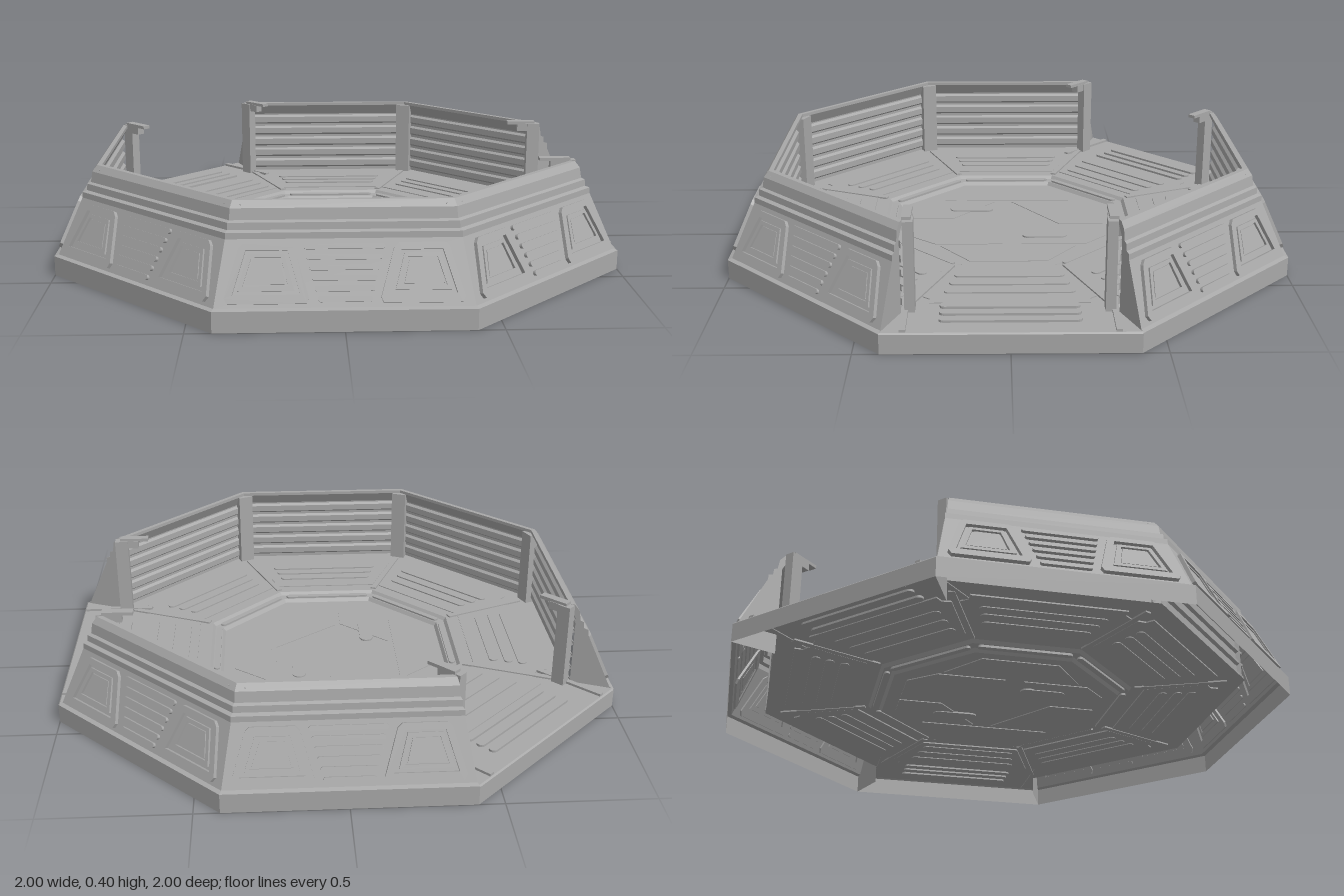
import * as THREE from 'three';

const T = Math.tan(Math.PI / 8);   // half side length of the octagon per unit of apothem
const FLOOR = 0.072, PIT = 0.045;

export function createModel() {
  const grey = new THREE.MeshStandardMaterial({ color: 0xa8a8a8, side: THREE.DoubleSide, flatShading: true });
  grey.name = 'plain grey';
  const root = new THREE.Group();
  root.name = 'octagonalArena';

  const add = (parent, geometry, name) => {
    const mesh = new THREE.Mesh(geometry, grey);
    mesh.name = name;
    parent.add(mesh);
    return mesh;
  };

  // Sweep an [apothem, height] profile along one side, mitred at both ends
  const sideStrip = (profile) => {
    const p = [];
    for (let i = 0; i < profile.length - 1; i++) {
      const [a, y] = profile[i], [b, h] = profile[i + 1];
      const A = [-a * T, y, a], B = [a * T, y, a], C = [b * T, h, b], D = [-b * T, h, b];
      p.push(...A, ...B, ...C, ...A, ...C, ...D);
    }
    const g = new THREE.BufferGeometry();
    g.setAttribute('position', new THREE.Float32BufferAttribute(p, 3));
    g.computeVertexNormals();
    return g;
  };

  const polygon = (pts) => new THREE.Shape(pts.map(([x, y]) => new THREE.Vector2(x, y)));

  // Flat [apothem, height] outline laid on a mitre plane at side s
  const mitrePlate = (pts, s, lift = 0) => {
    const g = new THREE.ShapeGeometry(polygon(pts));
    const pos = g.attributes.position;
    for (let i = 0; i < pos.count; i++) {
      const a = pos.getX(i);
      pos.setXYZ(i, s * (a * T + lift), pos.getY(i), a);
    }
    g.computeVertexNormals();
    return g;
  };

  // Thin plate reaching a little through the surface it sits on
  const plate = (shape, up = 0.005, down = 0.005) => {
    const g = new THREE.ExtrudeGeometry(shape, { depth: up + down, bevelEnabled: false, curveSegments: 4 });
    return g.translate(0, 0, -down);
  };
  const framed = (outer, inner) => {
    const s = polygon(outer);
    s.holes.push(polygon(inner));
    return s;
  };
  const slot = (w, h) => {
    const s = new THREE.Shape(), r = h / 2, e = w / 2 - r;
    s.moveTo(-e, -r).lineTo(e, -r);
    s.absarc(e, 0, r, -Math.PI / 2, Math.PI / 2, false);
    s.lineTo(-e, r);
    s.absarc(-e, 0, r, Math.PI / 2, Math.PI * 1.5, false);
    return s;
  };
  const onFloor = (g, y = FLOOR) => g.rotateX(-Math.PI / 2).translate(0, y, 0);

  // Wall section: base, sloping face, stepped crown, inner lip and slats
  const outerProfile = [[1, 0], [1, 0.07], [0.985, 0.075], [0.898, 0.272], [0.897, 0.292], [0.882, 0.297],
    [0.88, 0.32], [0.868, 0.325], [0.862, 0.362], [0.845, 0.384], [0.828, 0.384], [0.828, 0.372], [0.852, 0.33]];
  const slats = [];
  for (let i = 0; i < 5; i++) {
    const top = 0.325 - i * 0.05;
    slats.push([0.852, top], [0.842, top - 0.008], [0.842, top - 0.032], [0.852, top - 0.04]);
  }
  const wallProfile = [...outerProfile, ...slats, [0.852, FLOOR]];
  const capProfile = [...outerProfile, [0.852, 0]];

  const addPanels = (side) => {
    const face = new THREE.Group();
    face.name = 'outerPanels';
    face.position.set(0, 0.075, 0.985);
    face.rotation.x = -Math.atan2(0.087, 0.197);
    side.add(face);
    for (const s of [-1, 1]) {
      const m = (pts) => pts.map(([x, y]) => [s * x, y]);
      const outer = m([[0.375, 0.03], [0.365, 0.012], [0.12, 0.012], [0.112, 0.03], [0.155, 0.185], [0.17, 0.2], [0.315, 0.2], [0.33, 0.185]]);
      const inner = m([[0.35, 0.04], [0.14, 0.04], [0.178, 0.178], [0.308, 0.178]]);
      add(face, plate(framed(outer, inner), 0.013, 0.008), 'windowFrame');
      const rim = m([[0.335, 0.052], [0.157, 0.052], [0.187, 0.168], [0.3, 0.168]]);
      const hole = m([[0.318, 0.066], [0.177, 0.066], [0.198, 0.156], [0.29, 0.156]]);
      add(face, plate(framed(rim, hole), 0.009), 'windowRim');
      add(face, plate(polygon(m([[0.31, 0.072], [0.185, 0.072], [0.203, 0.151], [0.285, 0.151]])), 0.006), 'windowPane');
    }
    // Louvres widening towards the top
    for (let i = 0; i < 6; i++) {
      const g = plate(slot(0.17 + i * 0.017, 0.017), 0.01);
      add(face, g.translate(0, 0.025 + i * 0.033, 0), 'louvre');
    }
  };

  const addFloor = (side, open) => {
    const edge = open ? [[1, 0], [1, 0.067], [0.995, FLOOR]] : [[0.855, FLOOR]];
    add(side, sideStrip([...edge, [0.47, FLOOR], [0.46, 0.06], [0.43, 0.058], [0.42, PIT], [0, PIT]]), 'floorSector');
    // Sector plate with notched corners
    const half = [[0.2, -0.52], [0.29, -0.735], [0.265, -0.755], [0.265, -0.785]];
    const outline = [...half, ...half.map(([x, y]) => [-x, y]).reverse()];
    add(side, onFloor(plate(polygon(outline), 0.003)), 'floorPlate');
    const rows = open ? [0.57, 0.635, 0.7, 0.81, 0.86, 0.91] : [0.6, 0.655, 0.705];
    rows.forEach((a, i) => {
      const w = a > 0.8 ? 0.46 : 0.38 + i * 0.03;
      add(side, onFloor(plate(slot(w, 0.032), 0.008, 0.008)).translate(0, 0, a), 'treadBar');
    });
    const bar = onFloor(plate(slot(0.34, 0.022), 0.006, 0.008), 0.059);
    add(side, bar.translate(0, 0, 0.445), 'pitEdgeBar');
    // Raised rib along the joint between two sectors
    const rib = add(side, new THREE.BoxGeometry(0.022, 0.012, 0.34), 'jointRib');
    const r = 0.69;
    rib.position.set(r * Math.sin(Math.PI / 8), FLOOR, r * Math.cos(Math.PI / 8));
    rib.rotation.y = Math.PI / 8;
  };

  // Eight sides, numbered from the front towards the model's left
  const openSides = [2, 5];
  const isOpen = (i) => openSides.includes((i + 8) % 8);
  for (let i = 0; i < 8; i++) {
    const side = new THREE.Group();
    side.name = isOpen(i) ? 'entranceSide' : 'walledSide';
    side.rotation.y = i * Math.PI / 4;
    root.add(side);
    addFloor(side, isOpen(i));

    if (isOpen(i)) {
      // Gate posts with inward caps
      for (const s of [-1, 1]) {
        add(side, new THREE.BoxGeometry(0.034, 0.313, 0.05), 'gatePost').position.set(s * 0.325, 0.2285, 0.825);
        add(side, new THREE.BoxGeometry(0.03, 0.012, 0.11), 'gatePostCap').position.set(s * 0.33, 0.389, 0.775);
        add(side, new THREE.BoxGeometry(0.03, 0.03, 0.06), 'gatePostBracket').position.set(s * 0.328, 0.37, 0.79);
        add(side, new THREE.BoxGeometry(0.02, 0.012, 0.27), 'gateSill').position.set(s * 0.34, FLOOR + 0.003, 0.858);
      }
      continue;
    }
    add(side, sideStrip(wallProfile), 'wall');
    addPanels(side);
    for (const s of [-1, 1]) {
      if (isOpen(i + s)) {
        add(side, mitrePlate(capProfile, s), 'wallEnd');
        add(side, mitrePlate([[0.965, 0.09], [0.868, 0.09], [0.868, 0.27], [0.885, 0.27]], s, 0.006), 'wallEndPlate');
      } else if (s === 1) {
        // Inner corner post
        const post = add(side, new THREE.BoxGeometry(0.06, 0.3, 0.04), 'cornerPost');
        const r = 0.895;
        post.position.set(r * Math.sin(Math.PI / 8), 0.222, r * Math.cos(Math.PI / 8));
        post.rotation.y = Math.PI / 8;
      }
    }
  }

  // Pit floor: angled plates, turned half round for the second set
  const pit = new THREE.Group();
  pit.name = 'pitFloor';
  root.add(pit);
  const plates = [
    [[-0.38, -0.14], [-0.38, 0.14], [-0.24, 0.25], [-0.24, -0.25]],
    [[-0.22, 0.02], [-0.22, 0.27], [-0.14, 0.37], [0.02, 0.37], [0.02, 0.2]],
    [[0.04, 0.21], [0.04, 0.37], [0.14, 0.37], [0.22, 0.29], [0.22, 0.05]],
  ];
  for (const turn of [0, Math.PI]) {
    for (const pts of plates) {
      add(pit, onFloor(plate(polygon(pts), 0.002, 0.003), PIT).rotateY(turn), 'pitPlate');
    }
    const grip = plate(slot(0.17, 0.05), 0.006, 0.006).rotateZ(Math.PI / 2);
    add(pit, onFloor(grip, PIT).translate(0.137, 0, -0.14).rotateY(turn), 'pitSlot');
  }
  return root;
}
